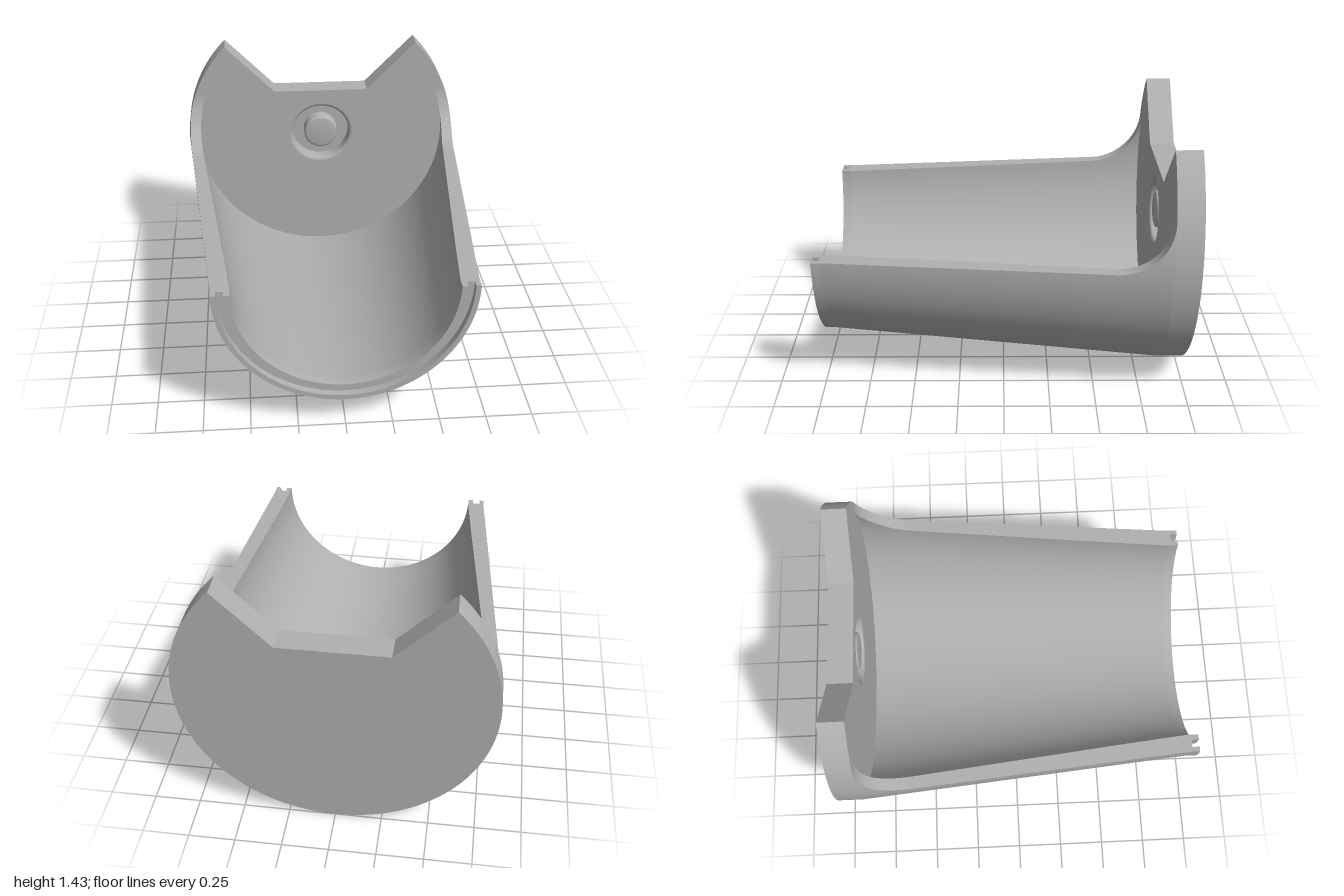
import * as THREE from 'three';
import { toCreasedNormals } from 'three/addons/utils/BufferGeometryUtils.js';

const R = 0.835, CY = 0.835;            // end plate radius, axis height
const BACK = -1, FACE = -0.86, FRONT = 1;
const FILLET = 0.29, GROOVE = 0.96;     // rim sweep radius, groove floor

const lerp = THREE.MathUtils.lerp;
const outerR = z => lerp(R, 0.672, Math.min(1, (z - FACE) / (0.94 - FACE)));
const innerR = z => lerp(0.775, 0.575, Math.min(1, Math.max(0, (z - FACE + 0.02) / (0.94 - FACE))));

// height of the cut rim above the axis
function rim(z) {
  const d = Math.min(FILLET, Math.max(0, FACE + FILLET - z));
  return FILLET - Math.sqrt(FILLET * FILLET - d * d);
}

// stations from front to back, dense along the rim sweep
const stations = [FRONT, GROOVE, 0.94, 0.6, 0.2, -0.2];
for (let i = 0; i <= 20; i++) stations.push(FACE + FILLET - FILLET * Math.sin(i / 20 * Math.PI / 2));

// surface through rows of points
function grid(rows) {
  const n = rows[0].length, index = [];
  for (let j = 0; j < rows.length - 1; j++) {
    for (let i = 0; i < n - 1; i++) {
      const a = j * n + i, b = a + 1, c = a + n, d = c + 1;
      index.push(a, b, d, a, d, c);
    }
  }
  const g = new THREE.BufferGeometry();
  g.setAttribute('position', new THREE.Float32BufferAttribute(rows.flat(2), 3));
  g.setIndex(index);
  g.computeVertexNormals();
  return g;
}

// sweep an (r, z) profile around the lower half, up to the rim
function sweep(profile, segments = 96) {
  return grid(profile.map(([r, z]) => {
    const end = Math.PI / 2 + Math.asin(rim(z) / r);
    return Array.from({ length: segments + 1 }, (_, i) => {
      const t = lerp(-end, end, i / segments);
      return [r * Math.sin(t), CY - r * Math.cos(t), z];
    });
  }));
}

// rim face between two radii on one side
function rimFace(zs, inner, outer, side) {
  return grid(zs.map(z => {
    const h = rim(z);
    const xs = [inner(z), outer(z)].map(r => side * Math.sqrt(r * r - h * h));
    if (side < 0) xs.reverse();
    return xs.map(x => [x, CY + h, z]);
  }));
}

// disc with a sloped notch cut into the top
function plateShape() {
  const s = new THREE.Shape();
  s.absarc(0, 0, R, Math.PI * 0.75, Math.PI * 2.25, false);
  s.lineTo(FILLET, FILLET);
  s.lineTo(-FILLET, FILLET);
  s.closePath();
  return s;
}

export function createModel() {
  const model = new THREE.Group();
  const grey = new THREE.MeshStandardMaterial({ color: 0xb0b0b0 });
  grey.name = 'grey';
  const add = (name, geometry, parent = model) => {
    const m = new THREE.Mesh(geometry, grey);
    m.name = name;
    parent.add(m);
    return m;
  };

  // tapered half shell
  const shell = new THREE.Group();
  shell.name = 'shell';
  model.add(shell);
  add('outerWall', sweep([...stations].reverse().map(z => [outerR(z), z])), shell);
  add('innerWall', sweep(stations.map(z => [innerR(z), z])), shell);

  // front lip with its groove
  const g0 = 0.605, g1 = 0.645, o = outerR(FRONT), n = innerR(FRONT);
  const lip = [[o, FRONT], [g1, FRONT], [g1, GROOVE], [g0, GROOVE], [g0, FRONT], [n, FRONT]];
  for (let i = 0; i < lip.length - 1; i++) add('frontLip', sweep([lip[i], lip[i + 1]]), shell);

  // flat rim faces, notched by the groove at the front
  for (const side of [-1, 1]) {
    add('rim', rimFace(stations.slice(1), innerR, outerR, side), shell);
    add('rimInnerTip', rimFace([FRONT, GROOVE], innerR, () => g0, side), shell);
    add('rimOuterTip', rimFace([FRONT, GROOVE], () => g1, outerR, side), shell);
  }

  // end plate: solid back layer, front layer with a socket opening
  const floor = -0.95;
  const layer = (name, shape, z0, z1) => {
    const g = new THREE.ExtrudeGeometry(shape, { depth: z1 - z0, bevelEnabled: false, curveSegments: 96 });
    add(name, toCreasedNormals(g, 0.5)).position.set(0, CY, z0);
  };
  layer('endPlateBack', plateShape(), BACK, floor);
  const open = plateShape();
  open.holes.push(new THREE.Path().absarc(0, 0, 0.2, 0, Math.PI * 2, true));
  layer('endPlateFront', open, floor, FACE);

  // recessed socket with rounded mouth and central post
  const p = [];
  for (let i = 0; i <= 6; i++) {
    const a = i / 6 * Math.PI / 2;
    p.push(new THREE.Vector2(0.2 - 0.02 * Math.sin(a), FACE - 0.02 * (1 - Math.cos(a))));
  }
  p.push(new THREE.Vector2(0.18, floor + 0.001), new THREE.Vector2(0.105, floor + 0.001));
  for (let i = 0; i <= 6; i++) {
    const a = i / 6 * Math.PI / 2;
    p.push(new THREE.Vector2(0.09 + 0.015 * Math.cos(a), FACE - 0.02 + 0.015 * Math.sin(a)));
  }
  p.push(new THREE.Vector2(0, FACE - 0.005));
  const socket = add('socketAndPost', toCreasedNormals(new THREE.LatheGeometry(p, 64), 0.6));
  socket.rotation.x = Math.PI / 2;
  socket.position.y = CY;

  return model;
}
